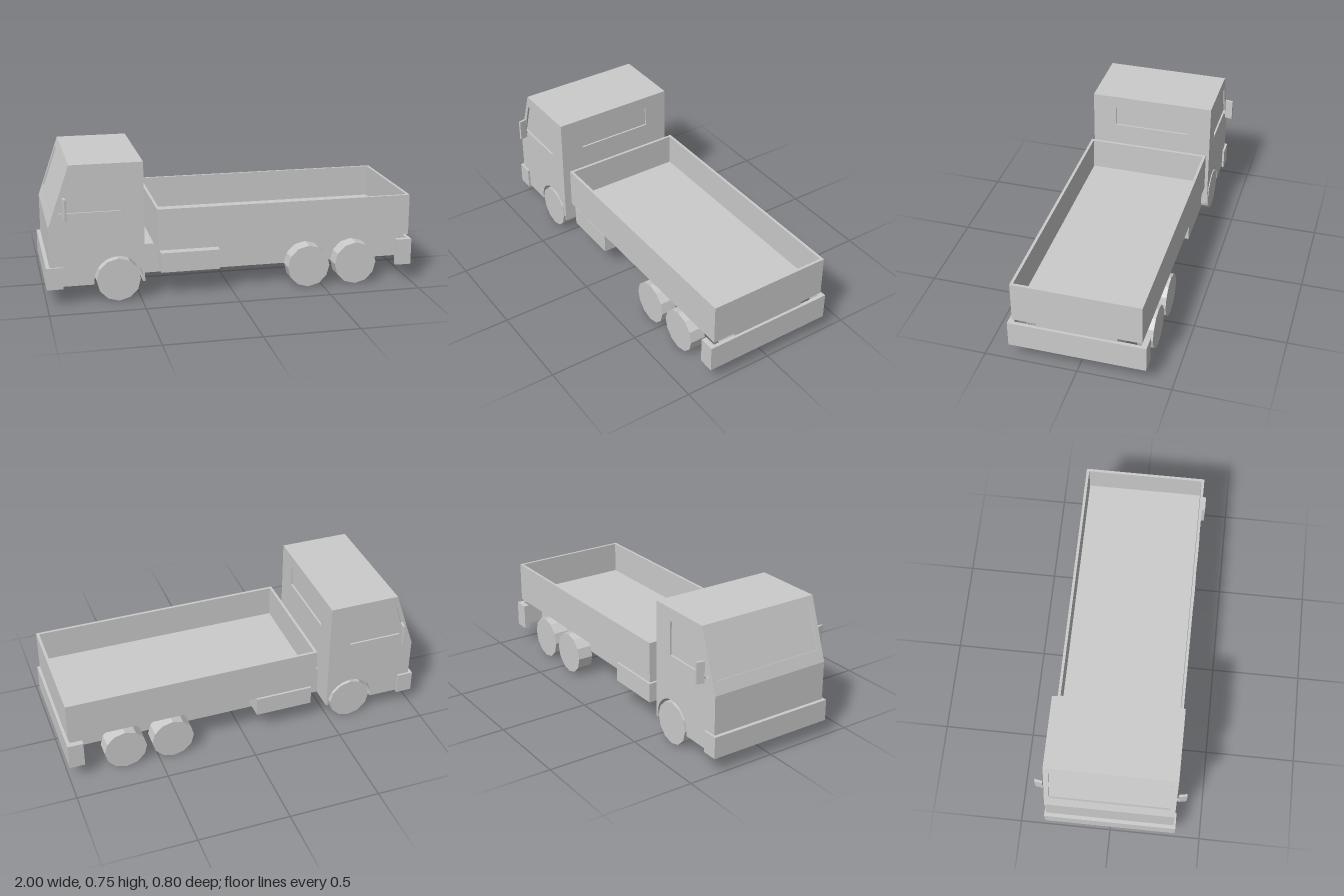
import * as THREE from 'three';

const grey = new THREE.MeshStandardMaterial({ color: 0xcccccc, flatShading: true });
const HALF = 0.347;          // half width of the cab
const D = 0.01;              // depth of the window recesses
const AXLE_Y = 0.118;
const FRONT_X = -0.62;

function add(parent, name, geometry, x = 0, y = 0, z = 0) {
  const mesh = new THREE.Mesh(geometry, grey);
  mesh.name = name;
  mesh.position.set(x, y, z);
  parent.add(mesh);
  return mesh;
}

// Box given by its limits on each axis
function block(parent, name, [x0, x1], [y0, y1], [z0, z1]) {
  return add(parent, name, new THREE.BoxGeometry(x1 - x0, y1 - y0, z1 - z0),
    (x0 + x1) / 2, (y0 + y1) / 2, (z0 + z1) / 2);
}

const extrude = (shape, depth) =>
  new THREE.ExtrudeGeometry(shape, { depth, bevelEnabled: false, curveSegments: 12 });

const polygon = (Type, points) => new Type(points.map(([x, y]) => new THREE.Vector2(x, y)));

const rectangle = (Type, halfWidth, y0, y1) => polygon(Type,
  [[-halfWidth, y0], [halfWidth, y0], [halfWidth, y1], [-halfWidth, y1]]);

// Side profile of the cab, optionally with a wheel arch and recessed glass planes
function cabProfile(arch, recessed) {
  const s = new THREE.Shape();
  s.moveTo(-0.98, 0.1);
  if (arch) {
    const r = 0.13, a = Math.asin((AXLE_Y - 0.1) / r);
    s.lineTo(FRONT_X - r * Math.cos(a), 0.1);
    s.absarc(FRONT_X, AXLE_Y, r, Math.PI + a, -a, true);
  }
  const back = recessed ? -0.48 - D : -0.48;
  s.lineTo(back, 0.1);
  s.lineTo(back, 0.75);
  s.lineTo(-0.865, 0.75);
  if (recessed) {
    s.lineTo(-0.8556, 0.7467);
    s.lineTo(-0.9706, 0.4167);
  }
  s.lineTo(-0.98, 0.42);
  s.closePath();
  return s;
}

function buildCab() {
  const cab = new THREE.Group();
  cab.name = 'cab';
  const inner = HALF - D;
  add(cab, 'cabCore', extrude(cabProfile(false, true), 0.5), 0, 0, -0.25);

  // Sides with wheel arches and recessed windows
  const skin = cabProfile(true, false);
  skin.holes.push(polygon(THREE.Path,
    [[-0.925, 0.495], [-0.6, 0.495], [-0.6, 0.68], [-0.866, 0.68]]));
  for (const side of [-1, 1]) {
    add(cab, 'archBody', extrude(cabProfile(true, true), inner - 0.25), 0, 0, side > 0 ? 0.25 : -inner);
    add(cab, 'sidePanel', extrude(skin, D), 0, 0, side > 0 ? inner : -HALF);
  }

  // Rear wall with its window
  const rear = rectangle(THREE.Shape, inner, 0.1, 0.75);
  rear.holes.push(rectangle(THREE.Path, 0.215, 0.565, 0.68));
  add(cab, 'rearWall', extrude(rear, D), -0.48 - D).rotation.y = Math.PI / 2;

  // Sloping windscreen frame
  const length = Math.hypot(0.115, 0.33);
  const screen = rectangle(THREE.Shape, inner, 0, length);
  screen.holes.push(rectangle(THREE.Path, 0.32, 0.2 * length, 0.87 * length));
  const frame = add(cab, 'windscreenFrame', extrude(screen, D), -0.9706, 0.4167);
  frame.rotation.set(0, -Math.PI / 2, -Math.atan2(0.115, 0.33), 'ZYX');

  // Door mirrors
  for (const side of [-1, 1]) {
    const mirror = block(cab, 'mirror', [-0.901, -0.889], [0.465, 0.582], [side * 0.377 - 0.022, side * 0.377 + 0.022]);
    mirror.rotation.y = side * 0.2;
    const arm = block(cab, 'mirrorArm', [-0.904, -0.896], [0.486, 0.498], [side * 0.35 - 0.014, side * 0.35 + 0.014]);
    arm.rotation.x = -side * 0.5;
  }
  return cab;
}

// Bumper: a cross plate with two short wings
function buildBumper(name, dir, tip, inside, wingEnd, y, half, wing) {
  const bumper = new THREE.Group();
  bumper.name = name;
  const span = (a, b) => [Math.min(a, b), Math.max(a, b)];
  block(bumper, 'bumperPlate', span(dir * tip, dir * inside), y, [-half, half]);
  for (const side of [-1, 1]) {
    block(bumper, 'bumperWing', span(dir * inside, dir * wingEnd), y, span(side * half, side * (half - wing)));
  }
  return bumper;
}

function buildBed() {
  const bed = new THREE.Group();
  bed.name = 'cargoBed';
  const x0 = -0.41, x1 = 0.988, z = 0.342, t = 0.015, y = [0.262, 0.487];
  block(bed, 'bedFloor', [x0 + t, x1 - t], [0.262, 0.31], [-z + t, z - t]);
  block(bed, 'headboard', [x0, x0 + t], y, [-z, z]);
  block(bed, 'tailgate', [x1 - t, x1], y, [-z, z]);
  block(bed, 'sideboard', [x0 + t, x1 - t], y, [z - t, z]);
  block(bed, 'sideboard', [x0 + t, x1 - t], y, [-z, -z + t]);
  return bed;
}

export function createModel() {
  const truck = new THREE.Group();
  truck.name = 'flatbedTruck';
  truck.add(buildCab(), buildBed());
  block(truck, 'chassis', [-0.5, 0.985], [0.1, 0.262], [-0.213, 0.213]);
  truck.add(buildBumper('frontBumper', -1, 1, 0.98, 0.912, [0.09, 0.208], 0.359, 0.02));
  truck.add(buildBumper('rearBumper', 1, 1, 0.98, 0.915, [0.096, 0.241], 0.366, 0.03));

  // Side boxes under the bed
  for (const side of [-1, 1]) {
    block(truck, 'sideBox', [-0.39, -0.07], [0.133, 0.241], side > 0 ? [0.21, 0.33] : [-0.33, -0.21]);
  }

  // Three axles with twelve-sided wheels
  for (const x of [FRONT_X, 0.42, 0.685]) {
    const axle = new THREE.Group();
    axle.name = 'axle';
    axle.position.set(x, AXLE_Y, 0);
    add(axle, 'axleShaft', new THREE.CylinderGeometry(0.015, 0.015, 0.54, 8)).rotation.x = Math.PI / 2;
    for (const side of [-1, 1]) {
      const wheel = add(axle, 'wheel', new THREE.CylinderGeometry(0.117, 0.117, 0.087, 12), 0, 0, side * 0.305);
      wheel.rotation.x = Math.PI / 2;
    }
    truck.add(axle);
  }
  return truck;
}
